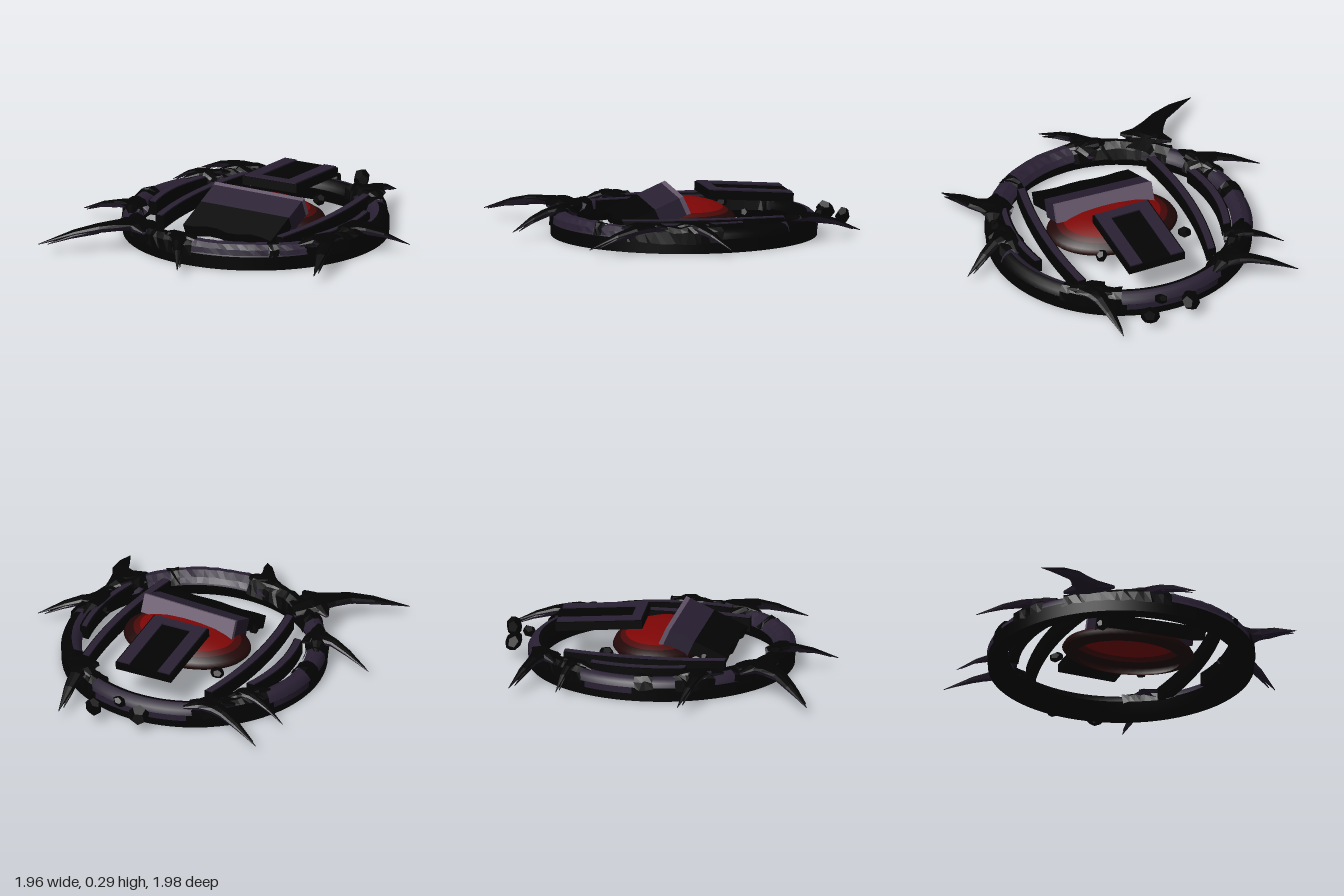
import * as THREE from 'three';

const mat = (name, color, side = THREE.FrontSide) => {
  const m = new THREE.MeshStandardMaterial({ color, side });
  m.name = name;
  return m;
};

export function createModel() {
  const model = new THREE.Group();
  model.name = 'ringedEyeRelic';
  const black = mat('black', 0x030303, THREE.DoubleSide);
  const purple = mat('dark purple', 0x292033, THREE.DoubleSide);
  const mauve = mat('mauve', 0x65566a);
  const red = mat('red', 0x7e0606, THREE.DoubleSide);
  const maroon = mat('maroon', 0x4a0909, THREE.DoubleSide);
  const darkMaroon = mat('dark maroon', 0x220808, THREE.DoubleSide);

  let seed = 11;
  const rand = () => (seed = (seed * 16807) % 2147483647) / 2147483647;
  const jit = (s) => (rand() - 0.5) * 2 * s;
  const add = (name, geo, material, parent = model) => {
    const m = new THREE.Mesh(geo, material);
    m.name = name;
    parent.add(m);
    return m;
  };
  const rad = THREE.MathUtils.degToRad;
  const vecs = (pts) => pts.map(([x, y]) => new THREE.Vector2(x, y));
  const CZ = -0.025;

  // Ring: dark walls with a rounded crown, angles measured from +z towards +x
  const arc = (name, pts, m, a0 = 0, a1 = 360) => {
    const g = new THREE.LatheGeometry(vecs(pts), Math.ceil((a1 - a0) / 5), rad(a0), rad(a1 - a0));
    add(name, g, m).position.z = CZ;
  };
  arc('ringBase', [[0.648, 0.08], [0.68, 0], [0.765, 0]], black);
  arc('ringWall', [[0.765, 0], [0.767, 0.08]], black);
  const outer = [[0.767, 0.08], [0.757, 0.108], [0.737, 0.127], [0.707, 0.133]];
  const inner = [[0.707, 0.133], [0.68, 0.126], [0.659, 0.105], [0.648, 0.08]];
  arc('crownOuter', outer, purple, 132, 457);
  arc('crownOuterDark', outer, black, 97, 132);
  arc('crownInner', inner, purple, 210, 510);
  arc('crownInnerDark', inner, black, 150, 210);

  // Ragged shells over parts of the ring: angles, lower edge, top and colour
  const shells = [
    [-46, 2, 0.06, 0.152, black], [-73, -56, 0.06, 0.152, black], [-91, -83, 0.07, 0.145, black],
    [-152, -116, 0.06, 0.152, black], [132, 160, 0.06, 0.152, black], [54, 97, 0.06, 0.152, black],
    [37, 42, 0.08, 0.15, black], [2, 37, 0.09, 0.152, purple], [42, 54, 0.09, 0.145, purple],
  ];
  for (const [a0, a1, low, top, m] of shells) {
    const n = Math.max(3, Math.round((a1 - a0) / 3));
    const profile = vecs([[0.772, low], [0.766, top - 0.03], [0.737, top - 0.005], [0.7, top], [0.658, top - 0.025], [0.637, low + 0.01]]);
    let g = new THREE.LatheGeometry(profile, n, rad(a0), rad(a1 - a0));
    const p = g.attributes.position, rough = m === black ? 1 : 0.4;
    for (let i = 0; i < p.count; i++) {
      const k = 1 + jit(0.006) * rough, t = jit(0.018) * rough;
      const x = p.getX(i), z = p.getZ(i);
      p.setXYZ(i, (x + z * t) * k, p.getY(i) + jit(0.007) * rough, (z - x * t) * k);
    }
    g = g.toNonIndexed();
    g.computeVertexNormals();
    add('ringShell', g, m).position.z = CZ;
  }
  // Painted purple flank on the rear left of the ring wall
  arc('ringFlank', [[0.769, 0.045], [0.77, 0.082]], purple, 162, 206);
  arc('ringFlank', [[0.769, 0.045], [0.77, 0.082]], purple, 246, 268);

  // Claw limb: loft through [x, y, z, halfWidth], flat black back and deeper purple flanks
  const limb = (stations, name = 'claw') => {
    const N = 8, pos = [];
    const rings = stations.map(([x, y, z, w], i) => {
      const a = stations[Math.max(0, i - 1)], b = stations[Math.min(stations.length - 1, i + 1)];
      const t = new THREE.Vector2(b[0] - a[0], b[2] - a[2]).normalize();
      return Array.from({ length: N }, (_, j) => {
        const q = (j / N) * Math.PI * 2, c = Math.cos(q) * w;
        const h = Math.sin(q) * Math.min(j < 5 ? 0.018 : 0.036, w * (j < 5 ? 0.4 : 0.85) + 0.001);
        return [x + t.y * c, y + h, z - t.x * c];
      });
    });
    const half = (from, to) => {
      for (let i = 0; i < rings.length - 1; i++) {
        for (let j = from; j < to; j++) {
          const k = (j + 1) % N, A = rings[i], B = rings[i + 1];
          pos.push(...A[j], ...A[k], ...B[j], ...A[k], ...B[k], ...B[j]);
        }
      }
    };
    half(0, 4);
    const split = pos.length / 3;
    half(4, 8);
    const g = new THREE.BufferGeometry();
    g.setAttribute('position', new THREE.Float32BufferAttribute(pos, 3));
    g.addGroup(0, split, 0);
    g.addGroup(split, pos.length / 3 - split, 1);
    g.computeVertexNormals();
    add(name, g, [black, purple]);
  };

  // Claws: base, bend and tip in plan, plus half width at the base
  const claws = [
    [-0.36, -0.6, -0.56, -0.67, -0.82, -0.76, 0.085],
    [-0.5, -0.4, -0.66, -0.45, -0.84, -0.48, 0.06],
    [-0.55, 0.31, -0.73, 0.31, -0.985, 0.26, 0.08],
    [-0.33, 0.53, -0.57, 0.78, -0.845, 0.99, 0.11],
    [-0.1, 0.61, -0.03, 0.78, 0.095, 0.99, 0.08],
    [0.58, 0.24, 0.73, 0.4, 0.82, 0.67, 0.11],
    [0.6, 0.04, 0.76, 0.0, 0.975, -0.13, 0.09],
    [0.42, -0.54, 0.385, -0.73, 0.35, -0.99, 0.1],
  ];
  for (const [bx, bz, mx, mz, tx, tz, w] of claws) {
    const mix = (a, b, t) => a + (b - a) * t;
    limb([
      [bx, 0.125, bz, w * 0.75],
      [mix(bx, mx, 0.35), 0.15, mix(bz, mz, 0.35), w],
      [mix(bx, mx, 0.7), 0.15, mix(bz, mz, 0.7), w * 0.6],
      [mx, 0.143, mz, w * 0.42],
      [mix(mx, tx, 0.4), 0.115, mix(mz, tz, 0.4), w * 0.3],
      [mix(mx, tx, 0.7), 0.083, mix(mz, tz, 0.7), w * 0.15],
      [tx, 0.05, tz, 0.002],
    ]);
    // Thin splinter beside the tip
    const ox = (tz - mz) * 0.06, oz = (mx - tx) * 0.06;
    limb([
      [mx, 0.13, mz, w * 0.3],
      [mix(mx, tx, 0.45) + ox, 0.1, mix(mz, tz, 0.45) + oz, w * 0.16],
      [mix(mx, tx, 0.85) + ox, 0.055, mix(mz, tz, 0.85) + oz, 0.002],
    ], 'clawSplinter');
    // Two roots gripping the ring
    const cx = mix(bx, mx, 0.4), cz = mix(bz, mz, 0.4), len = Math.hypot(cx, cz);
    for (const s of [-1, 1]) {
      const ux = (-cz / len) * s, uz = (cx / len) * s;
      limb([
        [cx, 0.148, cz, w * 0.6],
        [cx + ux * 0.07, 0.15, cz + uz * 0.07, w * 0.5],
        [cx + ux * 0.15, 0.135, cz + uz * 0.15, 0.012],
      ], 'clawRoot');
    }
  }

  // Eye: oval bands rising to a red dome
  const eye = new THREE.Group();
  eye.name = 'eye';
  eye.position.set(0.045, 0, -0.03);
  eye.scale.z = 0.72;
  model.add(eye);
  const band = (name, pts, m) => add(name, new THREE.LatheGeometry(vecs(pts), 48), m, eye);
  band('eyeRim', [[0.31, 0.065], [0.37, 0.085], [0.39, 0.105], [0.375, 0.13], [0.33, 0.152]], darkMaroon);
  band('eyeBand', [[0.33, 0.152], [0.31, 0.162], [0.29, 0.17]], maroon);
  band('eyeDome', [[0.29, 0.17], [0.24, 0.187], [0.17, 0.202], [0.08, 0.21], [0, 0.212]], red);

  // Front lid: sloping slab in three blocks, with a ragged lower edge
  const lid = new THREE.Group();
  lid.name = 'frontLid';
  lid.position.set(0.07, 0.275, 0.045);
  lid.rotation.x = 0.42;
  model.add(lid);
  const block = (name, w, h, z0, z1, m, seg = 1) => {
    const g = new THREE.BoxGeometry(w, h, z1 - z0, seg, 1, 1);
    g.translate(0, -h / 2, (z0 + z1) / 2);
    return add(name, g, m, lid);
  };
  block('lidBackTrim', 0.6, 0.11, 0, 0.026, mauve);
  block('lidUpper', 0.596, 0.108, 0.026, 0.18, purple);
  const lower = block('lidLower', 0.594, 0.075, 0.18, 0.395, black, 8).geometry;
  const lp = lower.attributes.position;
  for (let i = 0; i < lp.count; i++) {
    if (lp.getZ(i) > 0.3) lp.setZ(i, 0.385 + 0.014 * Math.sin(lp.getX(i) * 22 + 1));
  }
  lower.computeVertexNormals();

  // Back slab: dark body with a three sided purple border
  const slab = new THREE.Group();
  slab.name = 'backSlab';
  slab.position.set(0.015, 0.238, -0.373);
  slab.rotation.set(-0.07, 0.06, 0);
  model.add(slab);
  add('slabBody', new THREE.BoxGeometry(0.352, 0.05, 0.502), black, slab);
  for (const [x, z, w, d] of [[-0.128, 0, 0.076, 0.49], [0.128, 0, 0.076, 0.49], [0, 0.215, 0.18, 0.06]]) {
    add('slabBorder', new THREE.BoxGeometry(w, 0.009, d).translate(x, 0.0285, z), purple, slab);
  }

  // Bowed side bars with an inlaid top strip: end x, bowed x, z range, strip width
  const bars = [[-0.375, -0.475, -0.52, 0.42, 0.04], [0.43, 0.51, -0.53, 0.41, 0.04],
    [-0.545, -0.63, -0.33, 0.22, 0.04], [0.595, 0.665, -0.26, 0.27, 0.03]];
  for (const [xe, xm, z0, z1, strip] of bars) {
    const bow = (name, w, y, depth, m) => {
      const s = new THREE.Shape(), zm = (z0 + z1) / 2, h = w / 2;
      s.moveTo(xe - h, -z0);
      s.quadraticCurveTo(xm - h, -zm, xe - h, -z1);
      s.lineTo(xe + h, -z1);
      s.quadraticCurveTo(xm + h, -zm, xe + h, -z0);
      const g = new THREE.ExtrudeGeometry(s, { depth, bevelEnabled: false, curveSegments: 12 });
      add(name, g.rotateX(-Math.PI / 2).translate(0, y, 0), m);
    };
    bow('sideBar', 0.056, 0.07, 0.08, black);
    bow('sideBarStrip', strip, 0.15, 0.006, purple);
  }

  // Loose rocks
  for (const [x, y, z, r] of [[-0.11, 0.1, -0.87, 0.062], [0.16, 0.1, -0.92, 0.058], [0.05, 0.11, -0.81, 0.042],
    [-0.3, 0.13, -0.29, 0.042], [0.23, 0.14, -0.34, 0.038], [-0.22, 0.1, 0.27, 0.035]]) {
    const rock = add('rock', new THREE.DodecahedronGeometry(r), black);
    rock.position.set(x, y, z);
    rock.rotation.set(x * 9, z * 7, 0.4);
    rock.scale.y = 0.7;
  }
  return model;
}
